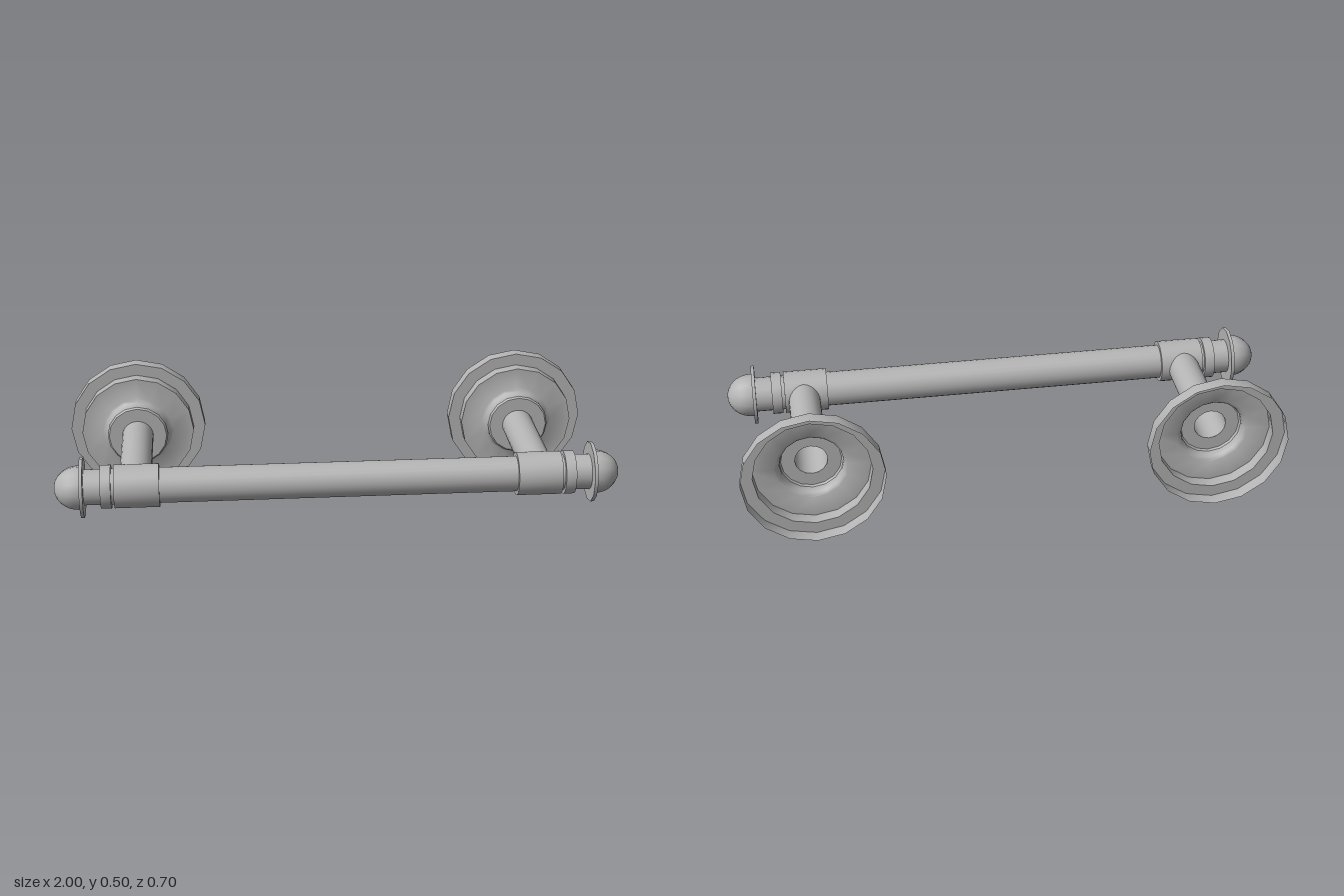
import * as THREE from 'three';
import { toCreasedNormals } from 'three/addons/utils/BufferGeometryUtils.js';

const AXIS_Y = 0.2525, BAR_Z = 0.243, POST_X = 0.719;

export function createModel() {
  const model = new THREE.Group();
  model.name = 'wallMountedBar';
  const metal = new THREE.MeshStandardMaterial({ color: 0xb4b4b4, side: THREE.DoubleSide });
  metal.name = 'brushedGrey';

  // Turned part: profile of [radius, distance along the axis], smooth around and sharp at steps
  function turned(name, profile, sides) {
    const points = profile.map(([r, d]) => new THREE.Vector2(r, d));
    const mesh = new THREE.Mesh(toCreasedNormals(new THREE.LatheGeometry(points, sides), 0.7), metal);
    mesh.name = name;
    return mesh;
  }
  function alongX(mesh) { mesh.geometry.rotateZ(-Math.PI / 2); return mesh; }
  function alongZ(mesh) { mesh.geometry.rotateX(Math.PI / 2); return mesh; }

  // Long bar, running through both sleeves to the end rings
  const bar = alongX(turned('bar', [[0.063, -0.9], [0.063, 0.9]], 24));
  bar.position.set(0, AXIS_Y, BAR_Z);
  model.add(bar);

  // Domed tip profile, a quarter ellipse
  const dome = [];
  for (let i = 0; i <= 8; i++) {
    const a = (i / 8) * Math.PI / 2;
    dome.push([0.078 * Math.cos(a), 0.915 + 0.085 * Math.sin(a)]);
  }
  dome.unshift([0.078, 0.9]);

  for (const side of [1, -1]) {
    const label = side > 0 ? 'left' : 'right';

    // Sleeve, collar, ring and tip at the end of the bar
    const end = new THREE.Group();
    end.name = label + 'BarEnd';
    end.add(
      alongX(turned('sleeve', [[0.063, 0.632], [0.077, 0.632], [0.077, 0.79], [0.063, 0.79]], 24)),
      alongX(turned('sleeveCollar', [[0.063, 0.8], [0.077, 0.8], [0.077, 0.837], [0.063, 0.837]], 24)),
      alongX(turned('endRing', [[0, 0.895], [0.108, 0.895], [0.108, 0.907], [0, 0.907]], 12)),
      alongX(turned('domedTip', dome, 12)),
    );
    end.position.set(0, AXIS_Y, BAR_Z);
    end.rotation.y = side > 0 ? 0 : Math.PI;
    model.add(end);

    // Hollow post and stepped wall flange, open at the back
    const bracket = new THREE.Group();
    bracket.name = label + 'Bracket';
    bracket.add(
      alongZ(turned('post', [[0.058, -0.213], [0.058, 0.2]], 24)),
      alongZ(turned('wallFlange', [
        [0.2525, -0.35], [0.2525, -0.302], [0.209, -0.302], [0.209, -0.257],
        [0.13, -0.257], [0.122, -0.252], [0.116, -0.245], [0.113, -0.236],
        [0.113, -0.219], [0.107, -0.213], [0.058, -0.213],
      ], 16)),
    );
    bracket.position.set(side * POST_X, AXIS_Y, 0);
    model.add(bracket);
  }
  return model;
}
